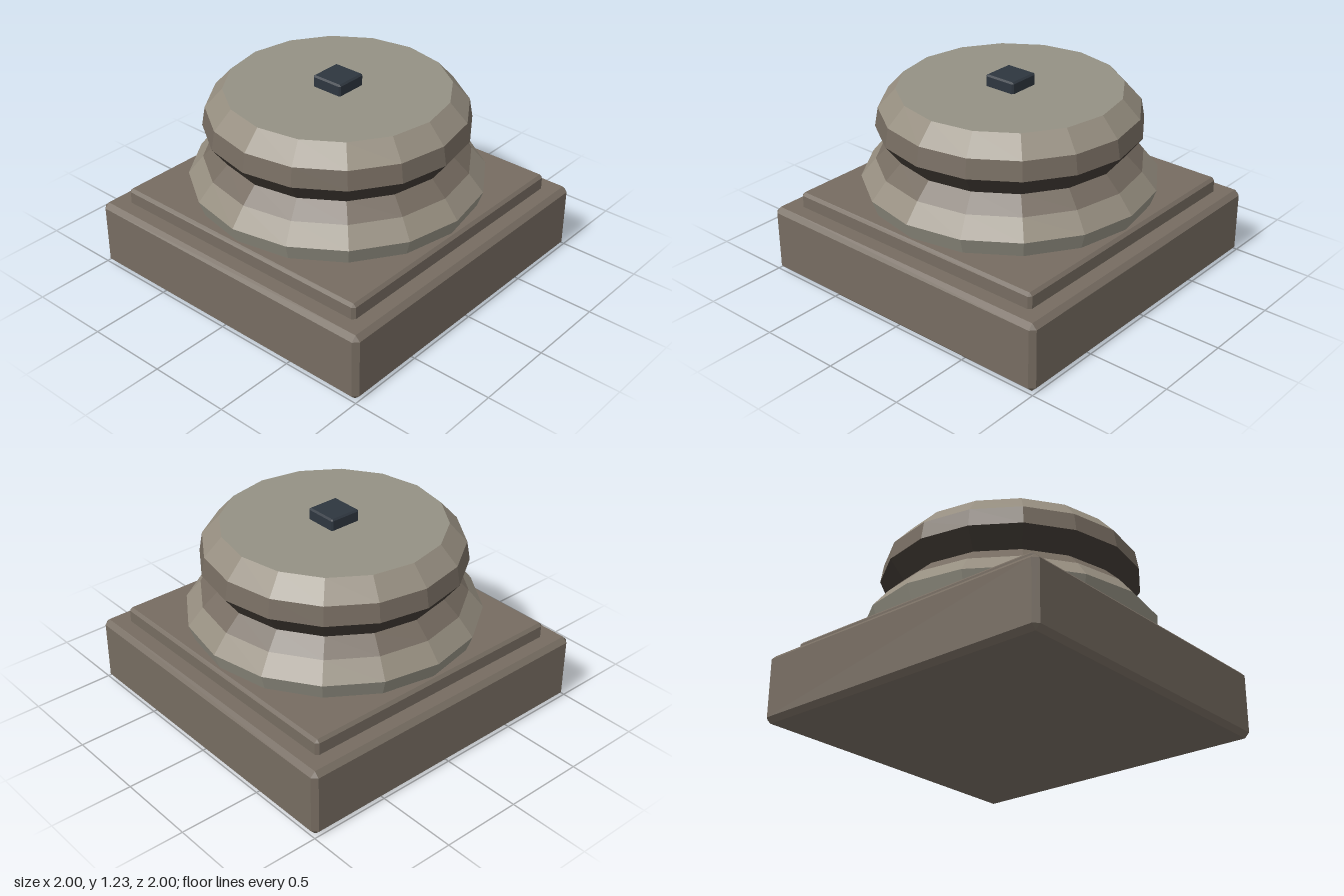
import * as THREE from 'three';
import { ConvexGeometry } from 'three/addons/geometries/ConvexGeometry.js';

const material = (name, color) => {
  const m = new THREE.MeshStandardMaterial({ color });
  m.name = name;
  return m;
};

// Box standing on y0 with every edge cut at 45 degrees
function chamferedBox(width, y0, y1, cut) {
  const h = new THREE.Vector3(width / 2, (y1 - y0) / 2, width / 2);
  const points = [];
  for (const x of [-1, 1]) for (const y of [-1, 1]) for (const z of [-1, 1]) {
    for (const axis of [0, 1, 2]) {
      const inset = [0, 1, 2].map((i) => (i === axis ? 0 : cut));
      points.push(new THREE.Vector3(
        x * (h.x - inset[0]), y * (h.y - inset[1]), z * (h.z - inset[2])));
    }
  }
  return new ConvexGeometry(points).translate(0, (y0 + y1) / 2, 0);
}

const SIDES = 16;

// One faceted ring between two [radius, height] points
function ring([r0, y0], [r1, y1]) {
  const g = new THREE.LatheGeometry(
    [new THREE.Vector2(r0, y0), new THREE.Vector2(r1, y1)], SIDES).toNonIndexed();
  g.computeVertexNormals();
  return g;
}

export function createModel() {
  const model = new THREE.Group();
  model.name = 'columnBase';
  const brown = material('brown stone', 0x766c61);
  const grey = material('grey stone', 0x949184);
  const light = material('light stone', 0x968e80);
  const dark = material('dark groove', 0x433c35);
  const iron = material('dark iron', 0x2e363f);

  const add = (name, geometry, mat) => {
    const mesh = new THREE.Mesh(geometry, mat);
    mesh.name = name;
    model.add(mesh);
  };

  // Square plinth in two steps
  add('plinth', chamferedBox(2, 0, 0.42, 0.03), brown);
  add('plinthStep', chamferedBox(1.765, 0.37, 0.512, 0.018), brown);

  // Moulded drum, from the lower bulge through the groove to the upper bulge
  const profile = [
    [0.85, 0.51], [0.885, 0.61], [0.795, 0.72], [0.7, 0.812],
    [0.79, 0.93], [0.77, 1.045], [0.665, 1.16],
  ];
  const bands = [
    ['lowerBulgeUnderside', grey], ['lowerBulge', light], ['neck', brown],
    ['groove', dark], ['upperBulgeSide', brown], ['upperBulgeShoulder', light],
  ];
  bands.forEach(([name, mat], i) => add(name, ring(profile[i], profile[i + 1]), mat));
  add('topFace', new THREE.CircleGeometry(0.665, SIDES).rotateX(-Math.PI / 2).translate(0, 1.16, 0), grey);

  // Square dowel in the middle of the top
  add('dowel', chamferedBox(0.206, 1.1, 1.23, 0.01), iron);
  return model;
}
